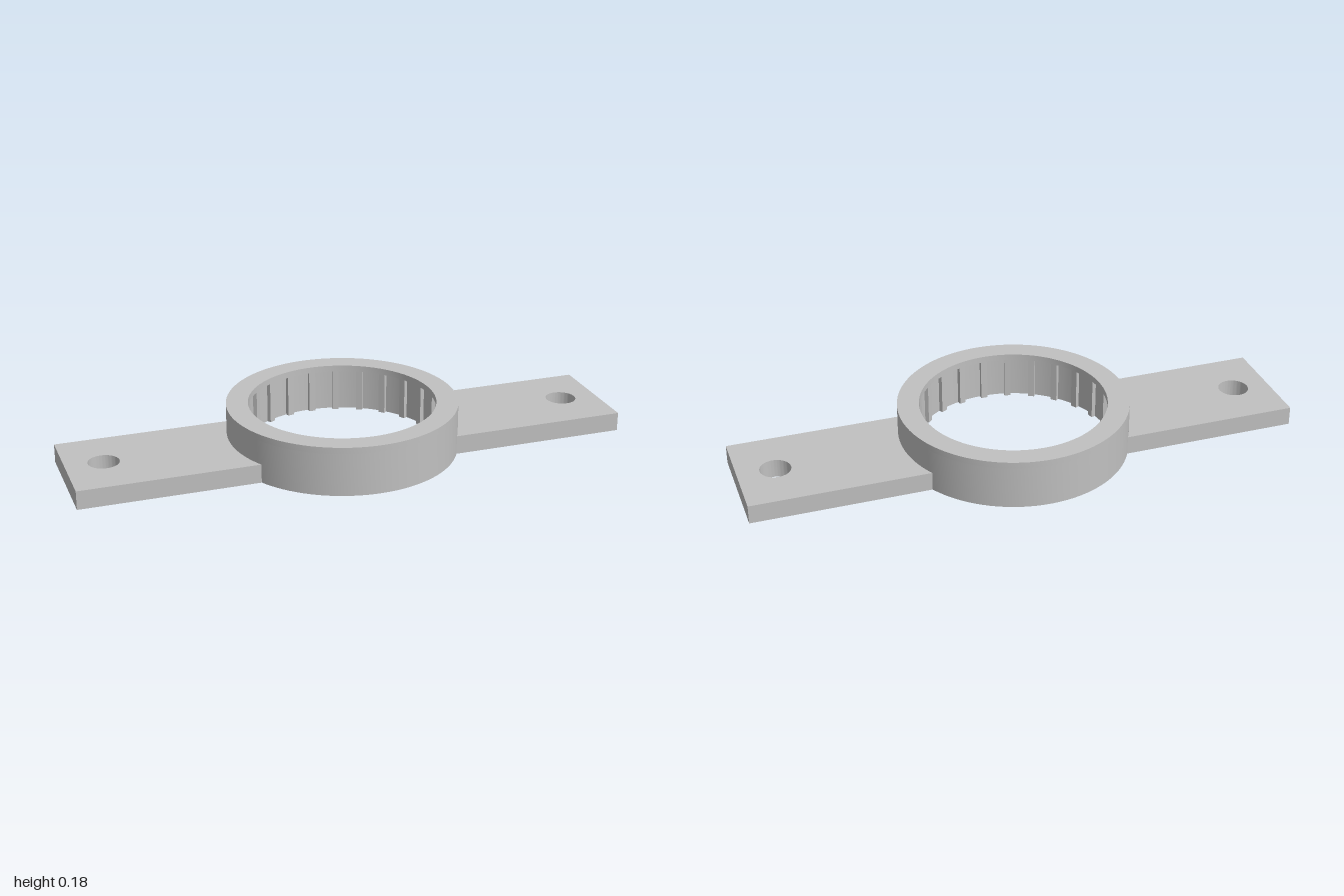
import * as THREE from 'three';
import { toCreasedNormals } from 'three/addons/utils/BufferGeometryUtils.js';

const R_OUT = 0.413, R_LIP = 0.335, R_WALL = 0.355, R_TOOTH = 0.34;
const HEIGHT = 0.178, LIP = 0.023, ARM_HEIGHT = 0.068, ARM_HALF = 0.2;
const TEETH = 24;

// Extrude a plan outline upwards from y, smooth on curves and sharp at edges
function slab(shape, y, height) {
  const geo = new THREE.ExtrudeGeometry(shape, { depth: height, bevelEnabled: false, curveSegments: 48 });
  geo.rotateX(-Math.PI / 2);
  geo.translate(0, y, 0);
  return toCreasedNormals(geo, 0.4);
}

function circle(radius, x = 0) {
  return new THREE.Path().absarc(x, 0, radius, 0, Math.PI * 2, true);
}

function disc() {
  return new THREE.Shape().absarc(0, 0, R_OUT, 0, Math.PI * 2, false);
}

// Inner outline with narrow teeth between wide curved grooves
function toothedHole() {
  const points = [], pitch = (Math.PI * 2) / TEETH, half = 0.035;
  const add = (r, a) => points.push(new THREE.Vector2(r * Math.cos(a), r * Math.sin(a)));
  for (let i = 0; i < TEETH; i++) {
    const a = i * pitch;
    add(R_TOOTH, a - half);
    add(R_TOOTH, a + half);
    for (let k = 0; k <= 4; k++) add(R_WALL, a + half + (k / 4) * (pitch - 2 * half));
  }
  return new THREE.Path(points.reverse());
}

export function createModel() {
  const model = new THREE.Group();
  model.name = 'ringBracket';
  const grey = new THREE.MeshStandardMaterial({ color: 0xc0c0c0 });
  grey.name = 'grey';

  const addPart = (name, geo) => {
    const mesh = new THREE.Mesh(geo, grey);
    mesh.name = name;
    model.add(mesh);
    return mesh;
  };

  // Ring wall with internal teeth
  const wall = disc();
  wall.holes.push(toothedHole());
  addPart('toothedRing', slab(wall, 0, HEIGHT - LIP));

  // Plain retaining lip on top
  const lip = disc();
  lip.holes.push(circle(R_LIP));
  addPart('retainingLip', slab(lip, HEIGHT - LIP, LIP));

  // Mounting arms, their inner ends following the ring
  const angle = Math.asin(ARM_HALF / R_OUT);
  const arm = new THREE.Shape();
  arm.moveTo(R_OUT * Math.cos(angle), -ARM_HALF);
  arm.lineTo(1, -ARM_HALF);
  arm.lineTo(1, ARM_HALF);
  arm.lineTo(R_OUT * Math.cos(angle), ARM_HALF);
  arm.absarc(0, 0, R_OUT, angle, -angle, true);
  arm.holes.push(circle(0.055, 0.865));
  const armGeo = slab(arm, 0, ARM_HEIGHT);
  addPart('leftArm', armGeo);
  addPart('rightArm', armGeo).rotation.y = Math.PI;

  return model;
}
